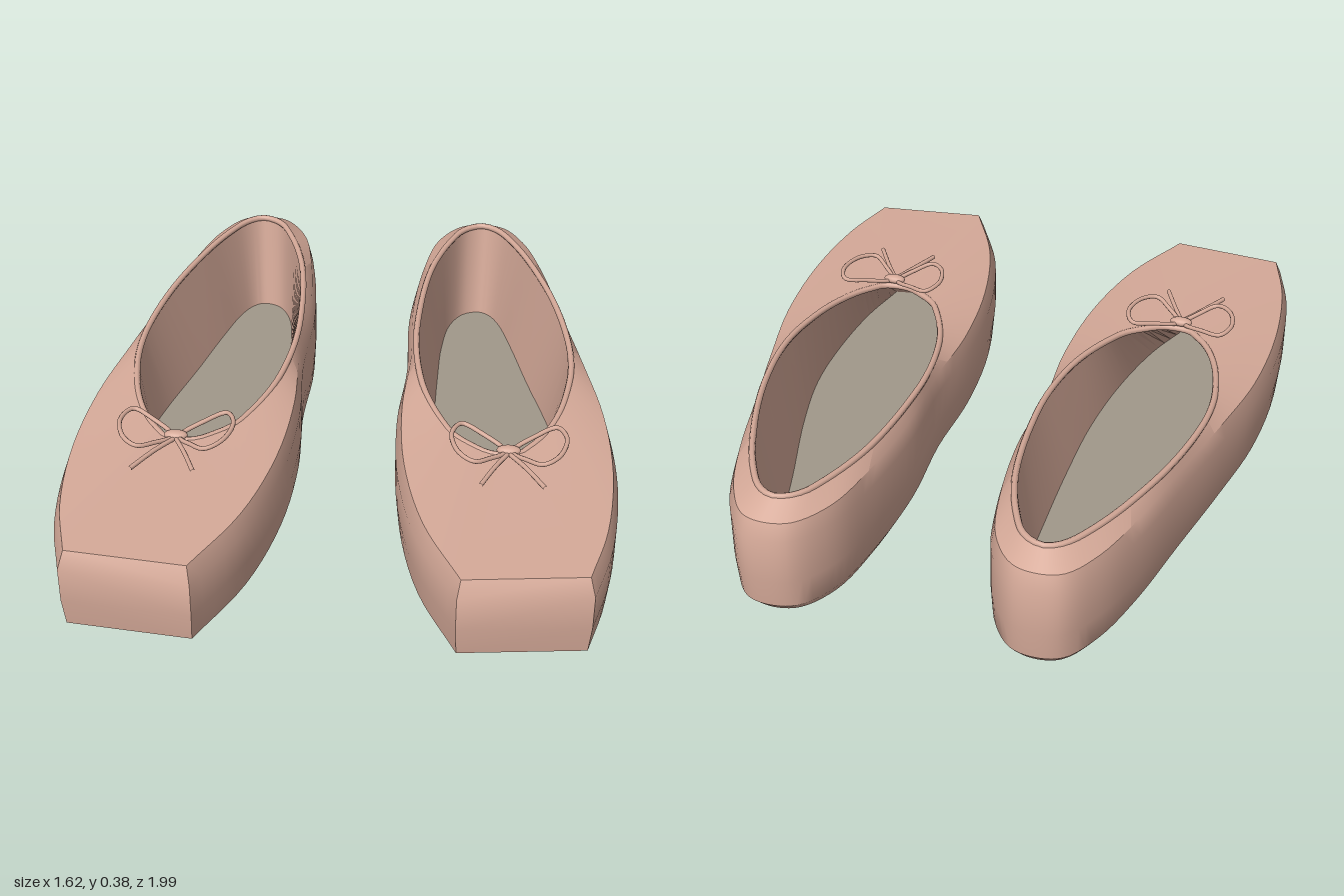
import * as THREE from 'three';
import { toCreasedNormals } from 'three/addons/utils/BufferGeometryUtils.js';

const mat = (name, color) => {
  const m = new THREE.MeshStandardMaterial({ color });
  m.name = name;
  return m;
};

// Paired plan points (x, z) from the inner toe corner, round the heel, to the outer toe corner
const OUTLINE = [
  [0.36, 0.99], [0.24, 0.74], [0.17, 0.45], [0.15, 0.15], [0.166, -0.12], [0.157, -0.4], [0.185, -0.68],
  [0.23, -0.87], [0.31, -0.98], [0.39, -1.0], [0.465, -0.98], [0.54, -0.87], [0.605, -0.68],
  [0.67, -0.4], [0.735, -0.12], [0.79, 0.15], [0.81, 0.45], [0.785, 0.74], [0.73, 0.95],
];
const OPENING = [
  [0.44, 0.385], [0.34, 0.32], [0.28, 0.22], [0.225, 0.07], [0.192, -0.15], [0.195, -0.38], [0.22, -0.6],
  [0.27, -0.77], [0.325, -0.875], [0.385, -0.905], [0.435, -0.88], [0.5, -0.78], [0.575, -0.6],
  [0.645, -0.36], [0.68, -0.1], [0.665, 0.07], [0.63, 0.21], [0.575, 0.32], [0.52, 0.38],
];
const SOLE = [
  [0.43, 0.79], [0.36, 0.62], [0.3, 0.38], [0.265, 0.12], [0.256, -0.12], [0.256, -0.4], [0.262, -0.6],
  [0.285, -0.75], [0.33, -0.83], [0.385, -0.85], [0.42, -0.83], [0.455, -0.77], [0.5, -0.62],
  [0.555, -0.4], [0.63, -0.12], [0.675, 0.12], [0.68, 0.35], [0.66, 0.58], [0.62, 0.76],
];
const N = 90;
const plan = (pts) =>
  new THREE.CatmullRomCurve3(pts.map(([x, z]) => new THREE.Vector3(x, 0, z)), false, 'centripetal').getPoints(N);

// Heights of the opening and of the side's upper edge along the shoe
const topY = (z) => 0.334 - 0.06 * z - 0.017 * z * z;
const edgeY = (z) => 0.296 + 0.038 * THREE.MathUtils.smoothstep(-z, -0.3, 0.9);

// Ring blended between two plans, with a height given by a function of z
function ring(a, b, t, y, side) {
  return a.map((p, i) => {
    const v = p.clone().lerp(b[i], t);
    v.y = typeof y === 'function' ? y(v.z) : y;
    v.x *= side;
    return v;
  });
}

// Surface through closed rings, optionally closed by a cap on the last ring
function loft(rings, side, cap = false) {
  const n = rings[0].length;
  const pos = rings.flat().flatMap((v) => [v.x, v.y, v.z]);
  const idx = [];
  const tri = (a, b, c) => (side > 0 ? idx.push(a, b, c) : idx.push(a, c, b));
  for (let j = 0; j < rings.length - 1; j++) {
    for (let i = 0; i < n; i++) {
      const a = j * n + i, b = j * n + ((i + 1) % n);
      tri(a, a + n, b);
      tri(b, a + n, b + n);
    }
  }
  if (cap) {
    const last = rings[rings.length - 1];
    const c = last.reduce((s, v) => s.add(v), new THREE.Vector3()).divideScalar(n);
    pos.push(c.x, c.y, c.z);
    const base = (rings.length - 1) * n;
    for (let i = 0; i < n; i++) tri(base + i, rings.length * n, base + ((i + 1) % n));
  }
  const g = new THREE.BufferGeometry();
  g.setAttribute('position', new THREE.Float32BufferAttribute(pos, 3));
  g.setIndex(idx);
  return toCreasedNormals(g, 0.55);
}

function createShoe(side, mats) {
  const shoe = new THREE.Group();
  shoe.name = side > 0 ? 'leftShoe' : 'rightShoe';
  const add = (name, geometry, material) => {
    const m = new THREE.Mesh(geometry, material);
    m.name = name;
    shoe.add(m);
    return m;
  };
  const out = plan(OUTLINE), open = plan(OPENING), sole = plan(SOLE);

  // Upper: underside, bevelled lower edge, wall, top and inner lining
  const rim = ring(open, open, 0, topY, side);
  add('upper', loft([
    ring(sole, sole, 0, 0.02, side),
    ring(out, sole, 0.24, 0.02, side),
    ring(out, sole, 0.06, 0.05, side),
    ring(out, sole, 0, 0.14, side),
    ring(out, sole, 0, (z) => edgeY(z) - 0.05, side),
    ring(out, sole, 0.13, edgeY, side),
    rim,
  ], side), mats.satin);
  add('lining', loft([rim, ring(sole, sole, 0, 0.05, side)], side), mats.satin);

  // Insole
  add('insole', loft([ring(sole, sole, 0, 0.051, side)], side, true), mats.insole);

  // Outer sole, running downward to its flat cap
  add('outerSole', loft([
    ring(sole, sole, 0, 0, side),
    ring(sole, out, 0.06, 0.012, side),
    ring(sole, out, 0.06, 0.022, side),
  ], side), mats.leather);
  add('solePlate', loft([ring(sole, sole, 0, 0, side)], -side, true), mats.leather);

  // Binding round the opening
  const path = rim.filter((_, i) => i % 3 === 0).map((v) => v.clone().setY(v.y - 0.005));
  add('binding', new THREE.TubeGeometry(new THREE.CatmullRomCurve3(path, true), 120, 0.01, 8, true), mats.satin);

  // Bow: two loops, two tails and a knot
  const K = new THREE.Vector3(0.49, 0.322, 0.395);
  const at = ([x, y, z], dir) => new THREE.Vector3((K.x + x * dir) * side, K.y + y, K.z + z);
  const loop = [[0.01, 0, 0], [0.08, 0.018, -0.06], [0.14, 0.03, -0.09], [0.168, 0.034, -0.03],
    [0.145, 0.032, 0.06], [0.1, 0.026, 0.095], [0.055, 0.014, 0.06]];
  const tail = [[0, 0, 0.01], [0.05, 0.004, 0.085], [0.105, 0.004, 0.18]];
  for (const dir of [-1, 1]) {
    const loopCurve = new THREE.CatmullRomCurve3(loop.map((p) => at(p, dir)), true);
    const tailCurve = new THREE.CatmullRomCurve3(tail.map(([x, y, z]) => at([dir < 0 ? x * 0.75 : x, y, z], dir)));
    add('bowLoop', new THREE.TubeGeometry(loopCurve, 48, 0.007, 8, true), mats.satin);
    add('bowTail', new THREE.TubeGeometry(tailCurve, 12, 0.007, 8), mats.satin);
  }
  const knot = add('bowKnot', new THREE.SphereGeometry(1, 16, 10), mats.satin);
  knot.scale.set(0.036, 0.014, 0.02);
  knot.position.copy(at([0, 0.004, 0], 1));
  return shoe;
}

export function createModel() {
  const mats = {
    satin: mat('pink satin', 0xd6aa99),
    insole: mat('grey insole', 0xa1988a),
    leather: mat('brown sole', 0x6e5044),
  };
  const group = new THREE.Group();
  group.name = 'balletShoes';
  group.add(createShoe(1, mats), createShoe(-1, mats));
  return group;
}
